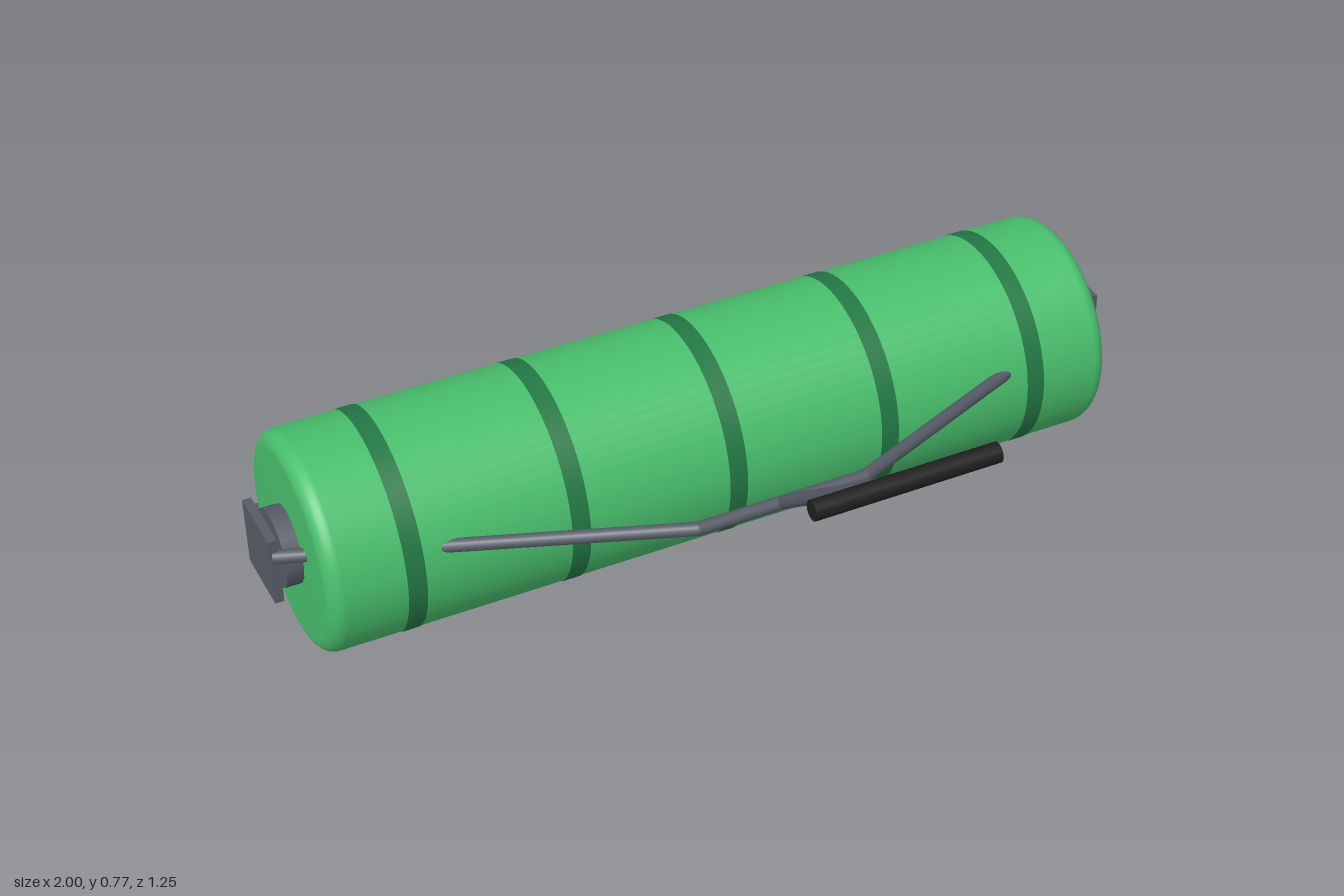
import * as THREE from 'three';

export function createModel() {
  const model = new THREE.Group();
  const mat = (name, color) => {
    const m = new THREE.MeshStandardMaterial({ color });
    m.name = name;
    return m;
  };
  const green = mat('drum green', 0x48bf6c);
  const darkGreen = mat('band green', 0x237845);
  const steel = mat('steel grey', 0x565b66);
  const black = mat('grip black', 0x1f1f1f);

  const add = (name, geometry, material, x = 0, y = 0, z = 0) => {
    const mesh = new THREE.Mesh(geometry, material);
    mesh.name = name;
    mesh.position.set(x, y, z);
    model.add(mesh);
    return mesh;
  };
  // Round bar between two points
  const bar = (name, a, b, radius, material) => {
    const from = new THREE.Vector3(...a), to = new THREE.Vector3(...b);
    const dir = to.clone().sub(from);
    const mesh = add(name, new THREE.CylinderGeometry(radius, radius, dir.length(), 16), material);
    mesh.position.copy(from).add(to).multiplyScalar(0.5);
    mesh.quaternion.setFromUnitVectors(new THREE.Vector3(0, 1, 0), dir.normalize());
    return mesh;
  };

  // Drum with rounded rims
  const R = 0.245, H = 0.93, B = 0.035, cy = 0.247, cz = -0.347;
  const profile = [new THREE.Vector2(0, -H)];
  for (const side of [-1, 1]) {
    for (let i = 0; i <= 6; i++) {
      const a = ((side < 0 ? i : 6 - i) / 6) * Math.PI / 2;
      profile.push(new THREE.Vector2(R - B + B * Math.sin(a), side * (H - B + B * Math.cos(a))));
    }
  }
  profile.push(new THREE.Vector2(0, H));
  add('drum', new THREE.LatheGeometry(profile, 64), green, 0, cy, cz).rotation.z = -Math.PI / 2;

  // Painted bands around the drum
  for (const x of [-0.74, -0.37, 0, 0.37, 0.74]) {
    const band = new THREE.CylinderGeometry(R + 0.0015, R + 0.0015, 0.042, 64, 1, true);
    add('drumBand', band, darkGreen, x, cy, cz).rotation.z = Math.PI / 2;
  }

  // Hubs, end plates and fork arms, mirrored
  for (const s of [-1, 1]) {
    bar('hub', [s * 0.9, 0.25, cz], [s * 0.967, 0.25, cz], 0.088, steel);
    add('endPlate', new THREE.BoxGeometry(0.02, 0.162, 0.16), steel, s * 0.988, 0.252, -0.346);
    bar('forkArm', [s * 0.195, 0.342, 0.1], [s * 0.988, 0.288, -0.272], 0.015, steel);
    add('forkElbow', new THREE.SphereGeometry(0.015, 16, 12), steel, s * 0.195, 0.342, 0.1);
  }

  // Crossbar, shaft and grip
  bar('crossbar', [-0.195, 0.342, 0.1], [0.195, 0.342, 0.1], 0.015, steel);
  bar('handleShaft', [0, 0.342, 0.1], [0, 0.749, 0.606], 0.015, steel);
  bar('grip', [-0.2, 0.749, 0.606], [0.2, 0.749, 0.606], 0.021, black);

  // Scraper bar behind the drum
  add('scraper', new THREE.BoxGeometry(1.86, 0.034, 0.02), steel, 0, 0.138, -0.616);

  return model;
}
